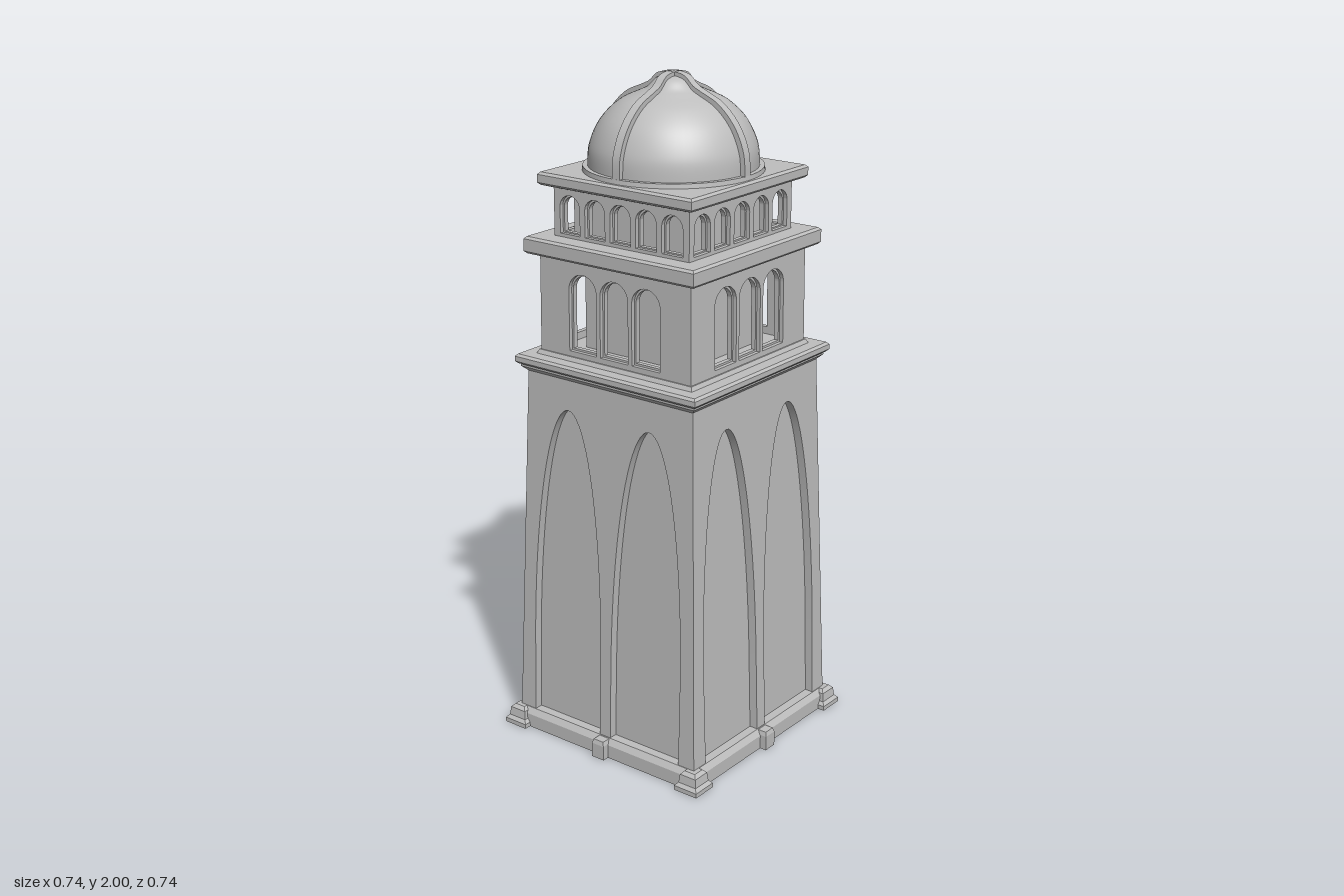
import * as THREE from 'three';
import { toCreasedNormals } from 'three/addons/utils/BufferGeometryUtils.js';

const stone = new THREE.MeshStandardMaterial({ color: 0xbebebe });
stone.name = 'stone';

function add(parent, geometry, name) {
  const mesh = new THREE.Mesh(geometry, stone);
  mesh.name = name;
  parent.add(mesh);
  return mesh;
}

// Solid with a square plan; profile is [half width, y] from bottom to top
function squareSolid(profile) {
  const pts = profile.map(([h, y]) => new THREE.Vector2(h * Math.SQRT2, y));
  pts.unshift(new THREE.Vector2(0, profile[0][1]));
  pts.push(new THREE.Vector2(0, profile[profile.length - 1][1]));
  const g = new THREE.LatheGeometry(pts, 4, Math.PI / 4).toNonIndexed();
  g.computeVertexNormals();
  return g;
}

// Ledge with softened edges
function ledge(half, y0, y1, b = 0.007) {
  return [[half - b, y0], [half, y0 + b], [half, y1 - b], [half - b, y1]];
}

// Round-headed opening: straight sides up to spring, elliptical head up to top
function archHole(cx, halfW, y0, spring, top) {
  const p = new THREE.Path();
  p.moveTo(cx - halfW, y0);
  p.lineTo(cx + halfW, y0);
  p.lineTo(cx + halfW, spring);
  p.absellipse(cx, spring, halfW, top - spring, 0, Math.PI, false, 0);
  p.lineTo(cx - halfW, y0);
  return p;
}

// Four walls with arched openings, leaning inward from half width h0 to h1
function arcadeWalls(parent, name, { y0, y1, h0, h1, inset = 0, thick, holes }) {
  const half = (y) => THREE.MathUtils.mapLinear(y, y0, y1, h0, h1) - inset;
  const shape = new THREE.Shape([
    new THREE.Vector2(-half(y0), y0), new THREE.Vector2(half(y0), y0),
    new THREE.Vector2(half(y1), y1), new THREE.Vector2(-half(y1), y1),
  ]);
  shape.holes = holes;
  let g = new THREE.ExtrudeGeometry(shape, { depth: thick, bevelEnabled: false, curveSegments: 20 });
  const p = g.attributes.position;
  for (let i = 0; i < p.count; i++) p.setZ(i, p.getZ(i) - thick + half(p.getY(i)));
  g = toCreasedNormals(g, 0.6);
  for (let i = 0; i < 4; i++) add(parent, g, name).rotation.y = i * Math.PI / 2;
}

// Row of equal arches centred on x = 0
function archRow(count, spacing, halfW, y0, top) {
  return Array.from({ length: count }, (_, i) =>
    archHole((i - (count - 1) / 2) * spacing, halfW, y0, top - halfW, top));
}

export function createModel() {
  const tower = new THREE.Group();
  tower.name = 'tower';

  // Base course with corner and middle feet
  add(tower, squareSolid([[0.347, 0], [0.347, 0.042], [0.335, 0.06], [0.3, 0.06]]), 'baseCourse');
  const cornerFoot = squareSolid([[0.04, 0], [0.04, 0.014], [0.031, 0.024], [0.028, 0.05], [0.018, 0.06]]);
  const middleFoot = squareSolid([[0.022, 0], [0.022, 0.045], [0.018, 0.058]]);
  for (let i = 0; i < 4; i++) {
    const side = new THREE.Group();
    side.name = 'feet';
    side.rotation.y = i * Math.PI / 2;
    add(side, cornerFoot, 'cornerFoot').position.set(0.329, 0, 0.329);
    add(side, middleFoot, 'middleFoot').position.set(0, 0, 0.346);
    tower.add(side);
  }

  // Tapered shaft: recessed core behind tall twin arches
  add(tower, squareSolid([[0.308, 0.03], [0.273, 1.15]]), 'shaftCore');
  arcadeWalls(tower, 'shaftWall', {
    y0: 0.03, y1: 1.16, h0: 0.334, h1: 0.299, thick: 0.03,
    holes: [-1, 1].map((s) => archHole(s * 0.148, 0.128, 0.055, 0.3, 1.05)),
  });
  add(tower, squareSolid([[0.299, 1.14], [0.315, 1.155], [0.315, 1.163],
    ...ledge(0.327, 1.163, 1.192), [0.282, 1.192], [0.276, 1.204]]), 'shaftCornice');

  // Belfry with an open passage around its core
  add(tower, squareSolid([[0.18, 1.19], [0.18, 1.5]]), 'belfryCore');
  const belfry = { y0: 1.19, y1: 1.5, h0: 0.272, h1: 0.27 };
  arcadeWalls(tower, 'belfryWall', { ...belfry, thick: 0.012, holes: archRow(3, 0.114, 0.05, 1.22, 1.45) });
  arcadeWalls(tower, 'belfryInnerWall', {
    ...belfry, inset: 0.012, thick: 0.015, holes: archRow(3, 0.114, 0.044, 1.226, 1.444),
  });
  add(tower, squareSolid([[0.275, 1.485], ...ledge(0.303, 1.49, 1.54)]), 'belfryCornice');

  // Upper gallery
  add(tower, squareSolid([[0.2, 1.53], [0.2, 1.7]]), 'galleryCore');
  const gallery = { y0: 1.53, y1: 1.7, h0: 0.24, h1: 0.24 };
  arcadeWalls(tower, 'galleryWall', { ...gallery, thick: 0.012, holes: archRow(5, 0.091, 0.036, 1.55, 1.662) });
  arcadeWalls(tower, 'galleryInnerWall', {
    ...gallery, inset: 0.012, thick: 0.015, holes: archRow(5, 0.091, 0.03, 1.554, 1.656),
  });
  add(tower, squareSolid([[0.245, 1.68], ...ledge(0.273, 1.687, 1.724)]), 'galleryCornice');

  // Dome with a rounded crown
  add(tower, new THREE.CylinderGeometry(0.257, 0.259, 0.016, 64).translate(0, 1.729, 0), 'domeRing');
  const curve = (pts) => new THREE.SplineCurve(pts.map(([x, y]) => new THREE.Vector2(x, y))).getPoints(48);
  const domeProfile = curve([[0.243, 1.73], [0.238, 1.795], [0.207, 1.863], [0.156, 1.914],
    [0.097, 1.943], [0.074, 1.955], [0.045, 1.981], [0, 1.99]]);
  add(tower, new THREE.LatheGeometry(domeProfile, 64), 'dome');

  // Two crossing ribs over the dome
  const ribProfile = curve([[0.257, 1.73], [0.252, 1.8], [0.22, 1.87], [0.165, 1.925],
    [0.1, 1.955], [0.076, 1.967], [0.046, 1.992], [0, 2.0]]);
  const mirrored = ribProfile.slice(0, -1).reverse().map((p) => new THREE.Vector2(-p.x, p.y));
  const rib = toCreasedNormals(new THREE.ExtrudeGeometry(new THREE.Shape([...ribProfile, ...mirrored]),
    { depth: 0.026, bevelEnabled: false }).translate(0, 0, -0.013), 0.6);
  for (let i = 0; i < 2; i++) add(tower, rib, 'domeRib').rotation.y = i * Math.PI / 2;

  return tower;
}
